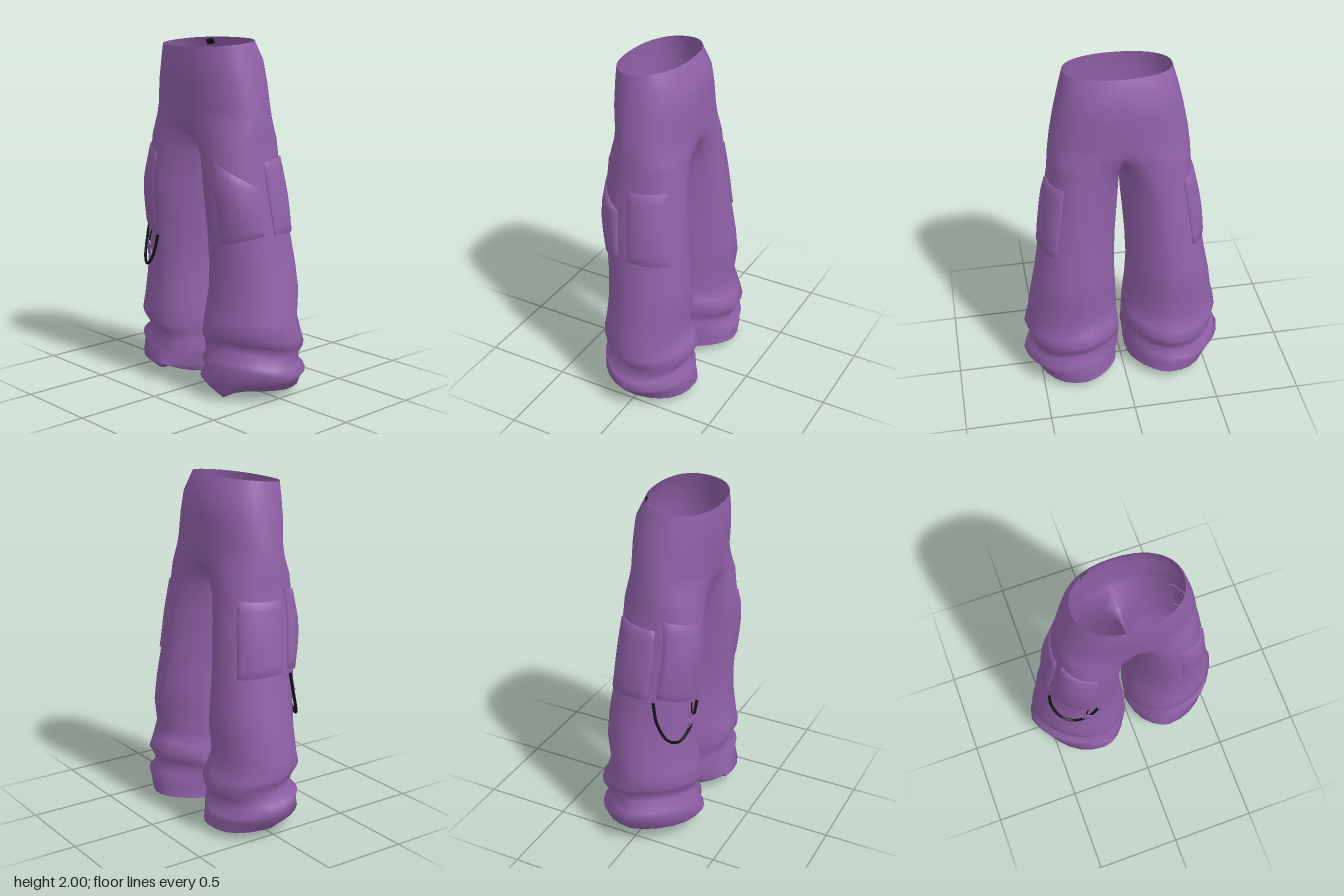
import * as THREE from 'three';
import { mergeVertices } from 'three/addons/utils/BufferGeometryUtils.js';

// Cross-sections of one half: height, inner x, outer x, back z, front z
const RINGS = [
  [1.975, -0.3, 0.3, -0.11, 0.28],
  [1.88, -0.328, 0.328, -0.165, 0.285],
  [1.76, -0.357, 0.357, -0.175, 0.283],
  [1.62, -0.385, 0.385, -0.175, 0.267],
  [1.56, -0.3, 0.393, -0.175, 0.265],
  [1.5, -0.15, 0.4, -0.175, 0.266],
  [1.45, -0.035, 0.403, -0.175, 0.268], // crotch
  [1.35, 0, 0.411, -0.18, 0.272],
  [1.2, 0.008, 0.435, -0.2, 0.285],
  [0.95, 0.03, 0.475, -0.22, 0.265],
  [0.75, 0.04, 0.51, -0.245, 0.25],
  [0.6, 0.035, 0.54, -0.253, 0.25],
  [0.45, 0.028, 0.562, -0.23, 0.268],
  [0.36, 0.02, 0.582, -0.265, 0.285],
  [0.31, 0.02, 0.565, -0.295, 0.26],
  [0.25, 0.022, 0.54, -0.265, 0.24],
  [0.2, 0.02, 0.58, -0.24, 0.28],
  [0.16, 0.02, 0.6, -0.28, 0.262],
  [0.1, 0.03, 0.565, -0.285, 0.3],
  [0.05, 0.04, 0.52, -0.285, 0.23],
];
const CROTCH = 6, CROTCH_Y = 1.45, OUTER = 20, INNER = 10;
const { clamp, lerp } = THREE.MathUtils;
const bump = (t, c, w) => Math.exp(-(((t - c) / w) ** 2));
const power = (v, e) => Math.sign(v) * Math.abs(v) ** e;

function ringAt(y) {
  let i = 0;
  while (i < RINGS.length - 2 && RINGS[i + 1][0] > y) i++;
  const a = RINGS[i], b = RINGS[i + 1];
  const k = clamp((a[0] - y) / (a[0] - b[0]), 0, 1);
  return a.map((v, n) => lerp(v, b[n], k));
}

// Angle past front/back at which the outer arc meets the inner leg
function seamAngle([, xi, xo]) {
  return Math.asin(clamp((xo + xi) / (xo - xi), 0, 0.857));
}

// Point on the cloth: t = 0 front, PI/2 outside, PI back
function clothPoint(y, t, side, offset = 0) {
  const [, xi, xo, zb, zf] = ringAt(y);
  const rx = (xo - xi) / 2 + offset, rz = (zf - zb) / 2 + offset;
  const sin = Math.sin(t), cos = Math.cos(t);
  // the inner side of each leg is flatter than the outer side
  const e = sin < 0 ? 0.9 + 0.35 * clamp((CROTCH_Y - y) / 0.2, 0, 1) : 0.9;
  const fold = clamp((0.5 - y) / 0.12, 0, 1);
  const r = 1 + fold * 0.02 * Math.sin(3 * t + y * 24 + side);
  const lean = clamp((1.1 - y) / 0.8, 0, 1) * (cos > 0 ? 0.08 : 0.03) * Math.abs(cos);
  let x = (xi + xo) / 2 + rx * r * power(sin, e) - lean;
  let z = (zb + zf) / 2 + rz * power(cos, e);
  let py = y;
  if (y > 1.95) py -= 0.1 * (z - 0.085); // waist tilts down to the front
  if (y > 0.12 && y < 0.42) py += 0.025 * Math.sin(2 * t + 0.8 * side);
  if (y < 0.08) { // uneven hem
    const a = t > Math.PI * 1.5 ? t - Math.PI * 2 : t;
    const lift = bump(a, -0.25, 0.3);
    py += 0.04 * lift - 0.015 * bump(a, 2.6, 0.6);
    py -= (side > 0 ? 0.055 : 0.012) * bump(a, 0.25, 0.25);
    z += 0.05 * lift;
  }
  x = Math.max(y >= CROTCH_Y ? 0 : 0.003, x);
  return [x * side, py, z];
}

function gridGeometry(rows, keep = () => true, flip = false) {
  const pos = [], idx = [], w = rows[0].length;
  rows.forEach((row) => row.forEach((p) => pos.push(...p)));
  for (let i = 0; i < rows.length - 1; i++) {
    for (let j = 0; j < w - 1; j++) {
      if (!keep(i, j)) continue;
      const a = i * w + j, b = a + 1, c = a + w, d = c + 1;
      idx.push(...(flip ? [a, b, c, b, d, c] : [a, c, b, b, c, d]));
    }
  }
  return { pos, idx };
}

function toGeometry(parts) {
  const pos = [], idx = [];
  for (const p of parts) {
    const base = pos.length / 3;
    for (const v of p.pos) pos.push(v);
    for (const i of p.idx) idx.push(i + base);
  }
  let g = new THREE.BufferGeometry();
  g.setAttribute('position', new THREE.Float32BufferAttribute(pos, 3));
  g.setIndex(idx);
  g = mergeVertices(g, 1e-4);
  g.computeVertexNormals();
  return g;
}

function halfRows(side) {
  return RINGS.map((ring) => {
    const a = seamAngle(ring), row = [];
    for (let j = 0; j <= OUTER; j++) {
      const p = clothPoint(ring[0], -a + (j / OUTER) * (Math.PI + 2 * a), side);
      if (ring[0] >= CROTCH_Y && (j === 0 || j === OUTER)) p[0] = 0;
      row.push(p);
    }
    for (let j = 1; j <= INNER; j++) {
      const t = Math.PI + a + (j / INNER) * (Math.PI - 2 * a);
      row.push(j === INNER ? row[0] : clothPoint(ring[0], t, side));
    }
    return row;
  });
}

// Puffy patch following the cloth, with its rim tucked into the leg.
// angles, bottom, top and height above the cloth are [start, end] pairs.
function pocketGeometry(side, angles, bottom, top, thick) {
  const rows = [], n = 10;
  // first and last steps are narrow so the border stands up steeply
  const step = (i) => clamp((i - 0.9) / (n - 1.8), 0, 1);
  for (let i = 0; i <= n; i++) {
    const row = [], v = step(i);
    for (let j = 0; j <= n; j++) {
      const u = step(j);
      const rim = i === 0 || j === 0 || i === n || j === n;
      const y = lerp(lerp(...top, u), lerp(...bottom, u), v);
      const puff = lerp(...thick, u) + 0.012 * Math.sin(Math.PI * u) * Math.sin(Math.PI * v);
      row.push(clothPoint(y, lerp(...angles, u), side, rim ? -0.006 : puff));
    }
    rows.push(row);
  }
  return toGeometry([gridGeometry(rows, undefined, side < 0)]);
}

function starShape(r) {
  const pts = [];
  for (let i = 0; i < 10; i++) {
    const a = Math.PI / 2 + (i * Math.PI) / 5, k = i % 2 ? 0.45 * r : r;
    pts.push(new THREE.Vector2(Math.cos(a) * k, Math.sin(a) * k));
  }
  return new THREE.Shape(pts);
}

export function createModel() {
  const group = new THREE.Group();
  const cloth = new THREE.MeshStandardMaterial({ name: 'purple cloth', color: 0x9161a9, side: THREE.DoubleSide });
  const metal = new THREE.MeshStandardMaterial({ name: 'black metal', color: 0x141416 });
  const add = (name, geometry, material) => {
    const mesh = new THREE.Mesh(geometry, material);
    mesh.name = name;
    group.add(mesh);
    return mesh;
  };

  // Waist and both legs as one smooth skin
  const halves = [1, -1].map((side) => ({ side, rows: halfRows(side) }));
  add('trousers', toGeometry(halves.map(({ side, rows }) =>
    gridGeometry(rows, (i, j) => j < OUTER || i >= CROTCH, side < 0))), cloth);

  for (const { side, rows } of halves) {
    const label = side > 0 ? 'left' : 'right';
    // Closed leg bottom
    const hem = rows[rows.length - 1];
    const centre = [0.28 * side, 0.05, 0];
    const cap = gridGeometry([hem, hem.map(() => centre)], undefined, side < 0);
    add(label + 'HemCap', toGeometry([cap]), cloth);
    // Cargo pockets
    const front = side > 0
      ? [[0.15, 1.3], [0.88, 0.94], [1.35, 1.21]]
      : [[0.1, 1.2], [0.88, 0.95], [1.35, 1.4]];
    add(label + 'FrontPocket', pocketGeometry(side, ...front, [0.003, 0.014]), cloth);
    const back = [side > 0 ? 1.55 : 1.4, 2.5];
    add(label + 'BackPocket', pocketGeometry(side, back, [0.94, 0.92], [1.34, 1.35], [0.014, 0.01]), cloth);
  }

  // Hanging chain on the right leg
  const chainPath = new THREE.CatmullRomCurve3([
    [-0.485, 0.94, 0.115], [-0.488, 0.81, 0.14], [-0.45, 0.69, 0.19], [-0.39, 0.66, 0.227],
    [-0.32, 0.7, 0.25], [-0.27, 0.78, 0.26], [-0.24, 0.865, 0.265],
  ].map((p) => new THREE.Vector3(...p)));
  add('chain', new THREE.TubeGeometry(chainPath, 40, 0.0085, 6), metal);

  // Star charm and its strap
  const charm = add('starCharm', new THREE.ExtrudeGeometry(starShape(0.05), { depth: 0.008, bevelEnabled: false }), cloth);
  charm.position.set(-0.315, 0.775, 0.262);
  charm.rotation.set(0, -0.35, 0.15);
  const strap = new THREE.LineCurve3(new THREE.Vector3(-0.3, 0.88, 0.262), new THREE.Vector3(-0.315, 0.82, 0.268));
  add('charmStrap', new THREE.TubeGeometry(strap, 2, 0.004, 5), metal);

  // Small clip set into the back of the waistband
  const clip = add('waistClip', new THREE.BoxGeometry(0.045, 0.03, 0.012), metal);
  clip.position.set(-0.17, 1.966, -0.085);
  clip.rotation.set(0.5, 0.35, 0);

  return group;
}
